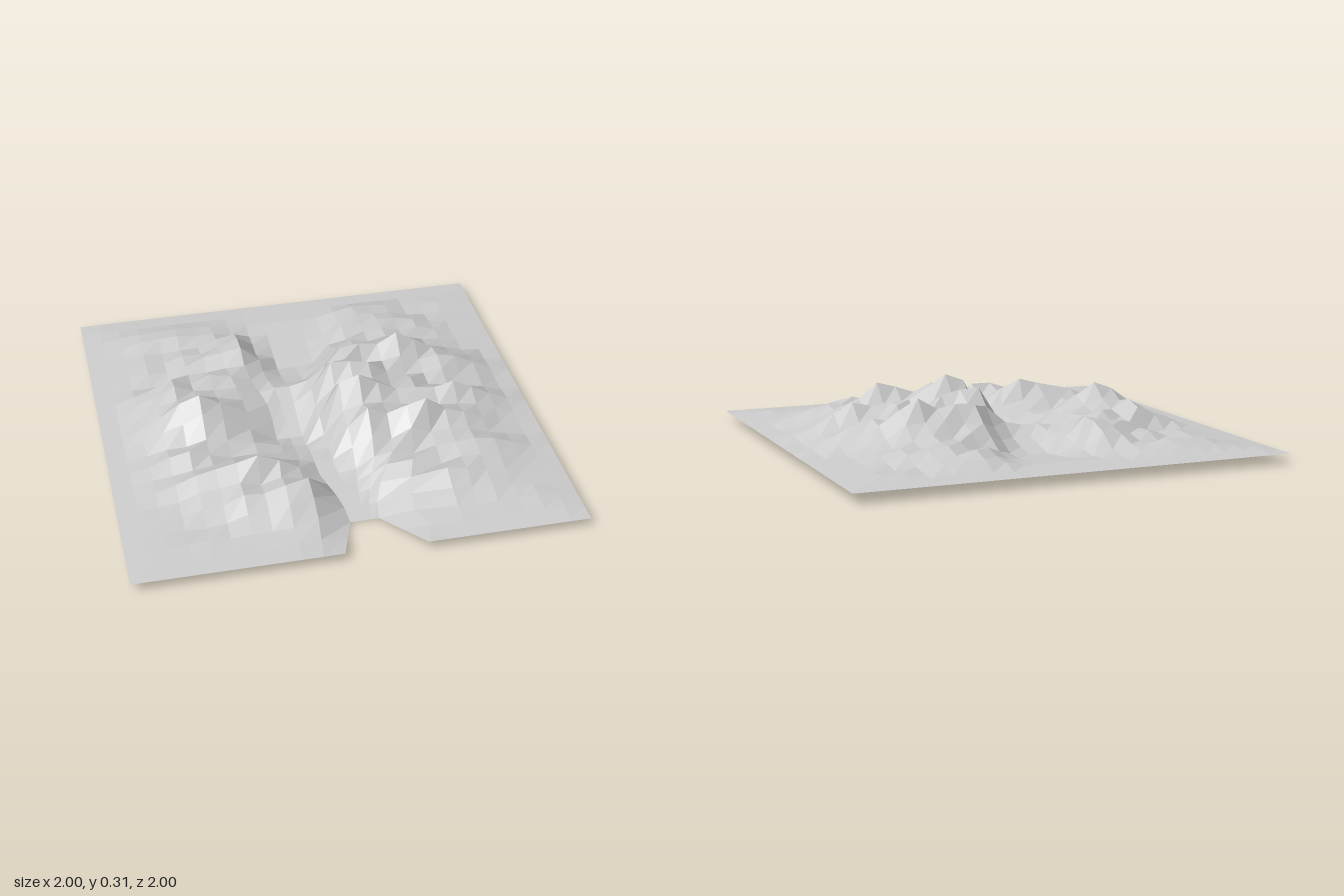
import * as THREE from 'three';

const N = 22;      // cells per side
const RIM = 0.045; // height of the flat outer border
const { clamp, lerp, smoothstep } = THREE.MathUtils;

// Peaks and ridges: x, z, height, half-length along x, half-length along z
const peaks = [
  [-0.55, 0.0, 0.26, 0.36, 0.26], [-0.62, -0.18, 0.2, 0.3, 0.25],
  [-0.4, -0.25, 0.17, 0.35, 0.35], [-0.3, -0.48, 0.19, 0.35, 0.3],
  [-0.4, 0.45, 0.2, 0.5, 0.24], [-0.2, 0.64, 0.19, 0.55, 0.22],
  [-0.55, -0.73, 0.12, 0.4, 0.2], [-0.64, 0.27, 0.13, 0.3, 0.3],
  [0.18, 0.09, 0.32, 0.4, 0.3], [0.14, -0.09, 0.305, 0.45, 0.3],
  [0.4, 0.27, 0.275, 0.45, 0.22], [0.18, 0.27, 0.25, 0.35, 0.22],
  [0.43, -0.27, 0.265, 0.4, 0.3], [0.25, -0.27, 0.25, 0.4, 0.3],
  [0.45, 0.05, 0.22, 0.4, 0.35], [0.64, -0.18, 0.205, 0.32, 0.22],
  [0.62, 0.1, 0.2, 0.34, 0.3], [0.6, 0.45, 0.16, 0.35, 0.22],
  [0.25, 0.5, 0.15, 0.3, 0.25], [0.48, 0.62, 0.15, 0.4, 0.22],
  [0.45, -0.55, 0.15, 0.4, 0.22], [0.4, -0.73, 0.135, 0.35, 0.2],
];

// Valley stations: z, centre x, half-width of floor, floor height
const valley = [
  [-1, 0, 0.2, 0.045], [-0.82, 0, 0.18, 0.055], [-0.46, -0.02, 0.09, 0.015],
  [-0.3, -0.04, 0.06, 0.05], [-0.18, -0.08, 0.05, 0.1], [0, -0.13, 0.06, 0.03],
  [0.09, -0.14, 0.07, 0.0], [0.2, -0.1, 0.06, 0.02], [0.32, -0.06, 0.06, 0.06],
  [0.55, 0.02, 0.07, 0.035], [0.75, 0.05, 0.1, 0.0], [1, 0.09, 0.18, 0.045],
];

function valleyAt(z) {
  const i = clamp(valley.findIndex((s) => s[0] >= z), 1, valley.length - 1);
  const a = valley[i - 1], b = valley[i];
  const t = clamp((z - a[0]) / (b[0] - a[0]), 0, 1);
  return a.map((v, k) => lerp(v, b[k], t));
}

// Repeatable jitter in -1..1
function jitter(i, j) {
  const s = Math.sin(i * 12.99 + j * 78.23) * 43758.55;
  return 2 * (s - Math.floor(s)) - 1;
}

function heightAt(x, z, i, j) {
  const edge = 1 - Math.max(Math.abs(x), Math.abs(z));
  let h = RIM + 0.1 * Math.min(edge, 0.45);
  for (const [px, pz, ph, rx, rz] of peaks) {
    const d = Math.hypot((x - px) / rx, (z - pz) / rz);
    h = Math.max(h, RIM + (ph - RIM) * (1 - d));
  }
  // Ridges and gullies alternate row by row
  if (j % 2 === 1) h -= 0.12 * (h - RIM);
  h += 0.02 * jitter(i, j) * smoothstep(edge, 0.1, 0.4);
  h = Math.min(h, RIM + 0.45 * edge);
  const [, cx, w, floor] = valleyAt(z);
  const wall = clamp((Math.abs(x - cx) - w) / 0.13, 0, 1);
  return Math.max(0, lerp(floor, h, wall));
}

// Grid point, drawn in towards the valley and the mouth of the notch
function gridPoint(i, j) {
  const gx = -1 + (2 * i) / N, gz = -1 + (2 * j) / N;
  let x = gx, z = gz;
  const mid = smoothstep(gz, -0.4, 0) * (1 - smoothstep(gz, 0.3, 0.5));
  x += 0.07 * mid * Math.max(0, 1 - Math.abs(gx + 0.27) / 0.2);
  const d = gx - 1 / 11;
  const squeeze = gz > 0.8 ? (1 - gz) / (2 / 11) : smoothstep(gz, 0.35, 0.8);
  const ad = Math.abs(d);
  const target = ad < 0.19 ? ad * 0.36 : lerp(0.065, 0.364, Math.min(1, (ad - 0.182) / 0.182));
  if (ad < 0.36) {
    x = lerp(x, 0.055 + Math.sign(d) * target, squeeze);
    if (gz > 0.5) z -= 0.068 * squeeze * Math.min(1, (0.364 - ad) / 0.182);
  }
  return [x, heightAt(x, z, i, j), z];
}

export function createModel() {
  const group = new THREE.Group();
  const positions = [], index = [];
  for (let j = 0; j <= N; j++) {
    for (let i = 0; i <= N; i++) positions.push(...gridPoint(i, j));
  }
  for (let j = 0; j < N; j++) {
    for (let i = 0; i < N; i++) {
      // Open notch in the front edge
      if (j >= N - 2 && i >= 10 && i < 14) continue;
      const a = j * (N + 1) + i, b = a + 1, c = a + N + 1, e = c + 1;
      index.push(a, c, b, b, c, e);
    }
  }
  const geometry = new THREE.BufferGeometry();
  geometry.setAttribute('position', new THREE.Float32BufferAttribute(positions, 3));
  geometry.setIndex(index);
  const faceted = geometry.toNonIndexed();
  faceted.computeVertexNormals();

  const terrain = new THREE.Mesh(faceted, new THREE.MeshStandardMaterial({
    color: 0xcccccc, flatShading: true, side: THREE.DoubleSide,
  }));
  terrain.name = 'mountainTerrain';
  group.add(terrain);
  return group;
}
